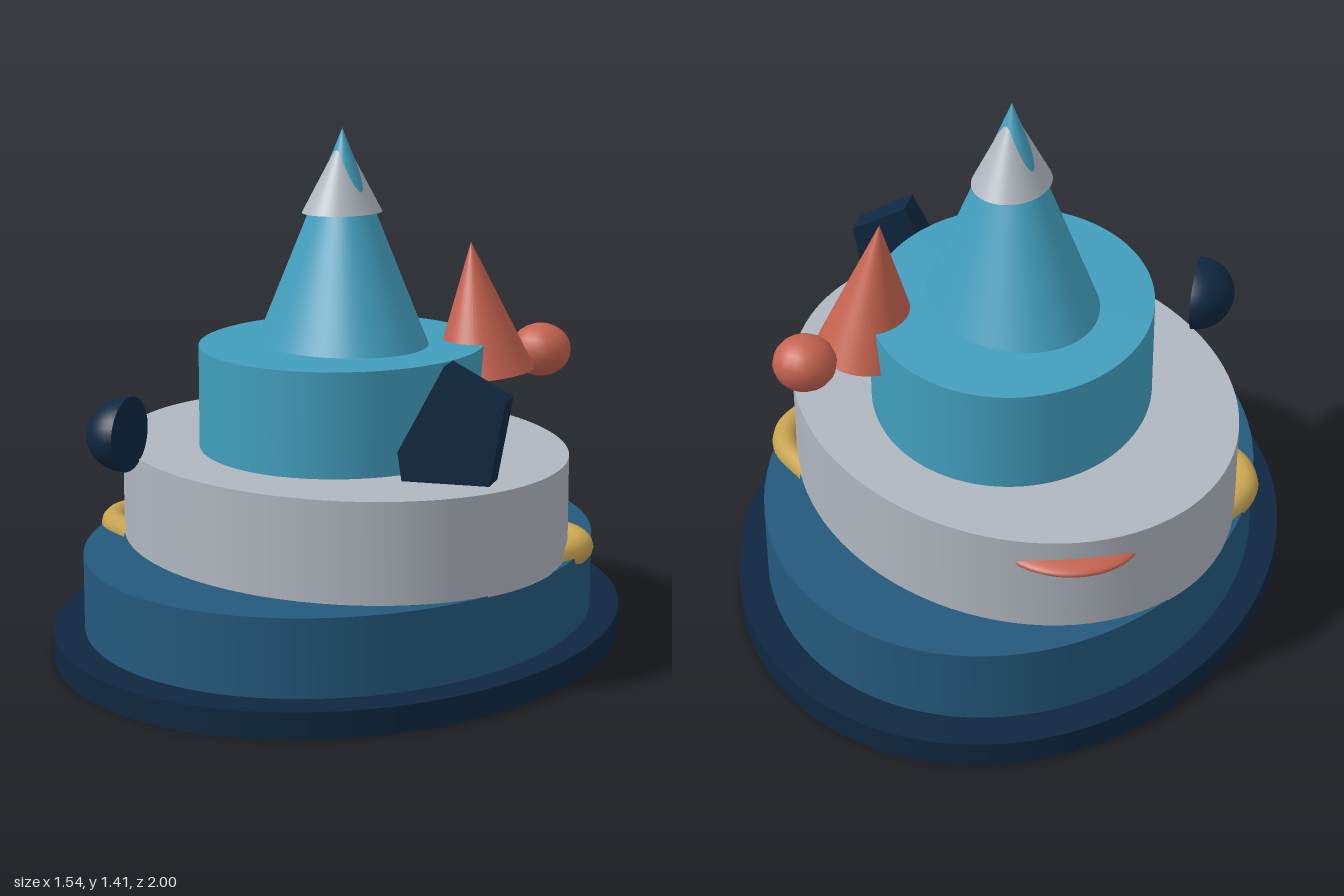
import * as THREE from 'three';

function material(name, color, side = THREE.FrontSide) {
  const m = new THREE.MeshStandardMaterial({ color, side });
  m.name = name;
  return m;
}

export function createModel() {
  const model = new THREE.Group();
  model.name = 'tieredTower';

  const navy = material('navy', 0x0f2740, THREE.DoubleSide);
  const blue = material('deepBlue', 0x24597c);
  const grey = material('paleGrey', 0xb0b6bf);
  const teal = material('teal', 0x429ebd);
  const coral = material('coral', 0xc4624f);
  const gold = material('gold', 0xc6a24f);

  function add(name, geometry, mat, x = 0, y = 0, z = 0) {
    const mesh = new THREE.Mesh(geometry, mat);
    mesh.name = name;
    mesh.position.set(x, y, z);
    model.add(mesh);
    return mesh;
  }

  // Oval drum or cone standing between two heights, turned about y
  function oval(name, mat, rx, rz, y0, y1, degrees = 0, top = 1) {
    const geometry = new THREE.CylinderGeometry(top, 1, y1 - y0, 96);
    geometry.scale(rx, 1, rz);
    const mesh = add(name, geometry, mat, 0, (y0 + y1) / 2, 0);
    mesh.rotation.y = THREE.MathUtils.degToRad(degrees);
    return mesh;
  }

  // Stacked tiers and spire
  oval('basePlate', navy, 0.77, 1, 0, 0.07);
  oval('lowerTier', blue, 0.69, 0.895, 0.07, 0.275);
  oval('middleTier', grey, 0.602, 0.782, 0.272, 0.54, 34);
  oval('upperTier', teal, 0.395, 0.513, 0.54, 0.82, 10.6);
  oval('spire', teal, 0.233, 0.303, 0.82, 1.41, 32, 0);
  oval('spireCap', grey, 0.108, 0.141, 1.18, 1.39, 0, 0);

  // Leaning side cone
  const sideCone = new THREE.ConeGeometry(1, 0.37, 48);
  sideCone.scale(0.143, 1, 0.178);
  add('sideCone', sideCone, coral, 0.345, 0.906, -0.163).rotation.z = 0.105;

  // Slightly flattened ball beside the cone
  const ball = new THREE.SphereGeometry(1, 16, 12);
  ball.scale(0.087, 0.076, 0.088);
  add('ball', ball, coral, 0.485, 0.762, -0.37);

  // Sunken flat pebble at the back of the middle tier
  const pebble = new THREE.SphereGeometry(1, 40, 16);
  pebble.scale(0.2, 0.03, 0.19);
  add('backPebble', pebble, coral, -0.28, 0.47, -0.568);

  // Half dome with its flat face towards the tower
  const dome = new THREE.Group();
  dome.name = 'halfDome';
  const shell = new THREE.Mesh(
    new THREE.SphereGeometry(1, 32, 12, 0, Math.PI * 2, 0, Math.PI / 2), navy);
  shell.name = 'domeShell';
  const face = new THREE.Mesh(new THREE.CircleGeometry(1, 32), navy);
  face.name = 'domeFace';
  face.rotation.x = Math.PI / 2;
  dome.add(shell, face);
  dome.rotation.z = Math.PI / 2;
  dome.scale.set(0.1, 0.112, 0.13);
  dome.position.set(-0.448, 0.62, 0.47);
  model.add(dome);

  // Five-sided block at the front
  const outline = [[0.305, 0.5], [0.523, 0.5], [0.57, 0.76], [0.41, 0.845], [0.288, 0.615]];
  const block = new THREE.ExtrudeGeometry(
    new THREE.Shape(outline.map(([x, y]) => new THREE.Vector2(x, y))),
    { depth: 0.093, bevelEnabled: false });
  add('pentagonBlock', block, navy, 0, 0, 0.373);

  // Curved clasps on both sides
  const path = new THREE.CatmullRomCurve3(
    [[0.54, -0.21], [0.645, -0.105], [0.676, 0], [0.635, 0.13], [0.58, 0.22]]
      .map(([x, z]) => new THREE.Vector3(x, 0, z)));
  const claspGeometry = new THREE.TubeGeometry(path, 24, 0.037, 12);
  for (const [name, turn] of [['leftClasp', 0], ['rightClasp', Math.PI]]) {
    add(name, claspGeometry, gold, 0, 0.275, 0).rotation.y = turn;
  }

  return model;
}
